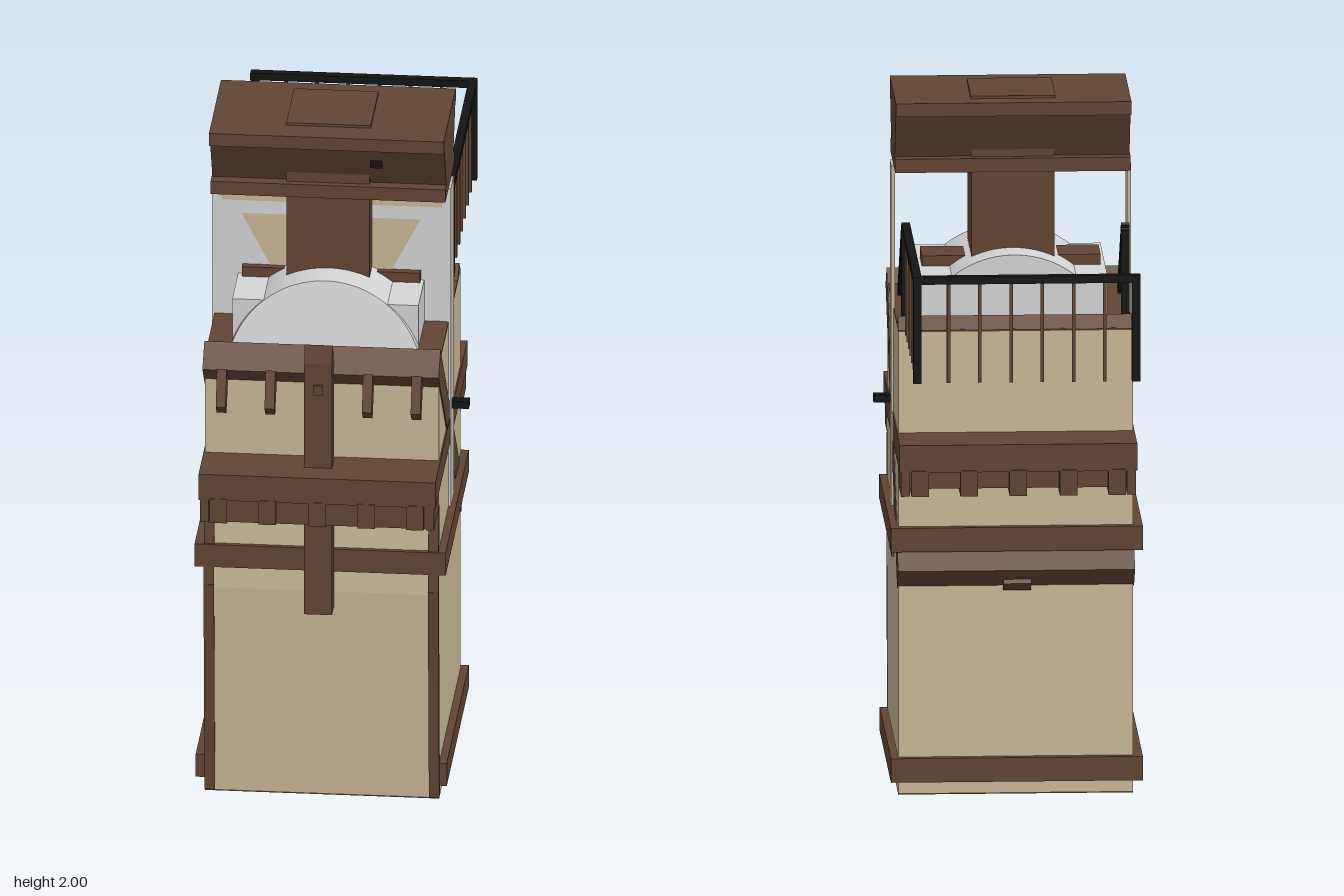
import * as THREE from 'three';

const mat = (name, color, side = THREE.FrontSide) => {
  const m = new THREE.MeshStandardMaterial({ color, side });
  m.name = name;
  return m;
};

export function createModel() {
  const tan = mat('tan plaster', 0xc9b998);
  const brown = mat('brown timber', 0x624534);
  const white = mat('pale metal', 0xd6d6d6);
  const black = mat('black iron', 0x141414);
  const model = new THREE.Group();
  const L = -0.353, R = 0.32, MID = (L + R) / 2;

  const add = (name, geo, material) => {
    const m = new THREE.Mesh(geo, material);
    m.name = name;
    model.add(m);
    return m;
  };
  // Box given by its limits on each axis
  const box = (name, material, x0, x1, y0, y1, z0, z1) => {
    const m = add(name, new THREE.BoxGeometry(x1 - x0, y1 - y0, z1 - z0), material);
    m.position.set((x0 + x1) / 2, (y0 + y1) / 2, (z0 + z1) / 2);
    return m;
  };
  // Square bar between two points
  const bar = (name, material, a, b, w, h = w) => {
    const p = new THREE.Vector3(...a), q = new THREE.Vector3(...b);
    const m = add(name, new THREE.BoxGeometry(w, h, p.distanceTo(q)), material);
    m.position.copy(p).add(q).multiplyScalar(0.5);
    m.lookAt(q);
    return m;
  };
  // Side profile of [z, y] points, extruded across x
  const profile = (name, material, pts, x0, x1) => {
    const s = new THREE.Shape(pts.map(([z, y]) => new THREE.Vector2(-z, y)));
    const g = new THREE.ExtrudeGeometry(s, { depth: x1 - x0, bevelEnabled: false });
    g.rotateY(Math.PI / 2);
    g.translate(x0, 0, 0);
    return add(name, g, material);
  };

  // Tower body with slightly bowed front
  profile('towerBody', tan,
    [[-0.085, 0.004], [0.588, 0.004], [0.618, 0.65], [0.59, 1.06], [0.588, 1.355], [-0.085, 1.355]], L, R);
  box('floor', brown, L, R, 0, 0.004, -0.085, 0.588);
  box('roofDeck', brown, L, R, 1.355, 1.362, -0.085, 0.588);
  profile('roofLip', brown, [[0, 1.36], [-0.05, 1.395], [-0.087, 1.36]], L, R);

  // Timber bands and front corner posts
  box('baseBand', brown, -0.38, 0.342, 0.04, 0.11, -0.108, 0.587);
  box('middleBand', brown, -0.38, 0.342, 0.715, 0.785, -0.107, 0.622);
  for (const x of [L + 0.014, R - 0.014]) {
    bar('cornerPost', brown, [x, 0.005, 0.582], [x, 0.66, 0.614], 0.03, 0.02);
    bar('cornerPost', brown, [x, 0.66, 0.614], [x, 0.92, 0.596], 0.03, 0.02);
  }

  // Sloping plank running through the body from front to back
  bar('slopingPlank', brown, [MID, 1.37, 0.605], [MID, 0.635, -0.11], R - L + 0.006, 0.088);
  bar('backStrut', brown, [-0.02, 0.68, -0.04], [-0.02, 0.61, -0.105], 0.08, 0.035);

  // Centre post and hanging brackets under the plank
  profile('centrePost', brown,
    [[0.605, 0.6], [0.672, 0.6], [0.672, 1.385], [0.66, 1.44], [0.605, 1.38]], -0.06, 0.02);
  box('postPeg', brown, -0.033, -0.007, 1.29, 1.32, 0.67, 0.68);
  for (const x of [-0.3, -0.16, 0.12, 0.26]) {
    profile('hangingBracket', brown,
      [[0.585, 1.31], [0.645, 1.21], [0.675, 1.24], [0.64, 1.345]], x - 0.014, x + 0.014);
  }

  // Walkway ledges front and back with joists
  box('walkway', brown, L - 0.004, R + 0.004, 0.98, 1.06, -0.257, 0.747);
  const ledge = (inner, outer) => {
    const d = Math.sign(outer - inner);
    const zs = (a, b) => [Math.min(a, b), Math.max(a, b)];
    box('ledgeBeam', brown, L, R, 0.925, 0.982, ...zs(inner, outer - d * 0.035));
    for (const x of [-0.3, -0.16, -0.016, 0.125, 0.265]) {
      box('joist', brown, x - 0.025, x + 0.025, 0.91, 0.985, ...zs(inner, outer + d * 0.004));
    }
    for (const x of [L, R - 0.025]) box('endJoist', brown, x, x + 0.025, 0.91, 0.985, ...zs(inner, outer));
  };
  ledge(0.585, 0.745);
  ledge(-0.08, -0.255);
  box('ledgeFascia', brown, L, R, 0.912, 0.985, 0.715, 0.742);

  // Pale machine casing with a curved hood
  box('casing', white, -0.285, 0.25, 1.36, 1.49, 0.02, 0.47);
  const hood = new THREE.Shape();
  const a = Math.asin(0.09 / 0.283);
  hood.absarc(0, 0, 0.283, a, Math.PI - a, false);
  hood.closePath();
  const hoodGeo = new THREE.ExtrudeGeometry(hood, { depth: 0.46, bevelEnabled: false, curveSegments: 24 });
  hoodGeo.translate(-0.017, 1.27, 0.03);
  // Lower front edge leans outward
  const hp = hoodGeo.attributes.position;
  for (let i = 0; i < hp.count; i++) {
    if (hp.getZ(i) > 0.2) hp.setZ(i, 0.5 - (hp.getY(i) - 1.36) * 0.2);
  }
  hoodGeo.computeVertexNormals();
  add('hood', hoodGeo, white);
  box('casingCradle', brown, -0.272, 0.24, 1.36, 1.52, 0.18, 0.31);

  // Head pillar and flared cap
  box('pillar', brown, -0.138, 0.1, 1.36, 1.99, 0.13, 0.37);
  box('capLowerPlate', brown, L - 0.002, R, 1.78, 1.82, 0.105, 0.39);
  profile('capFlare', brown, [[0.14, 1.82], [0.355, 1.82], [0.425, 1.955], [0.075, 1.955]], L, R);
  box('capTopPlate', brown, L - 0.002, R, 1.953, 1.992, 0.062, 0.44);
  box('capHatch', brown, -0.14, 0.103, 1.99, 2.0, 0.12, 0.362);
  box('capFitting', black, 0.105, 0.14, 1.885, 1.925, 0.39, 0.402);

  // Thin front screen between the cap and the roof, with inlay
  const panel = (name, material, pts, z) => {
    const g = new THREE.ShapeGeometry(new THREE.Shape(pts.map(p => new THREE.Vector2(...p))));
    g.translate(0, 0, z);
    add(name, g, material);
  };
  panel('screen', white, [[L, 1.36], [R, 1.36], [R, 1.78], [L, 1.78]], 0.288);
  panel('screenInlay', tan, [[-0.14, 1.42], [0.105, 1.42], [0.24, 1.68], [-0.275, 1.68]], 0.291);
  panel('screenInlayStripe', tan, [[-0.33, 1.72], [0.3, 1.72], [0.31, 1.75], [-0.34, 1.75]], 0.291);

  // Side guide strips
  for (const [x0, x1] of [[L - 0.007, L + 0.004], [R - 0.004, R + 0.007]]) {
    box('guideStrip', white, x0, x1, 0.64, 1.78, 0.245, 0.29);
    box('guideStripLining', tan, x0, x1, 0.64, 1.78, 0.2, 0.245);
    for (const z of [0.18, 0.29]) box('guideFoot', brown, x0, x1, 0.64, 0.72, z, z + 0.02);
  }
  box('sidePeg', black, 0.32, 0.376, 1.08, 1.102, 0.235, 0.265);

  // Stair rails on both sides
  for (const x of [-0.333, 0.297]) {
    bar('stairRail', black, [x, 1.41, 0.2], [x, 1.648, -0.03], 0.024);
    box('stairPost', black, x - 0.012, x + 0.012, 1.35, 1.65, -0.035, -0.012);
    for (let i = 0; i < 3; i++) {
      const z = 0.03 + i * 0.05;
      box('stairBaluster', brown, x - 0.005, x + 0.005, 1.35, 1.58 - i * 0.052, z - 0.005, z + 0.005);
    }
  }

  // Long handrail reaching out behind the tower
  box('handrail', black, 0.284, 0.308, 1.64, 1.662, -0.755, -0.02);
  box('handrail', black, -0.343, 0.308, 1.64, 1.662, -0.755, -0.73);
  for (const x of [0.296, -0.331]) box('railPost', black, x - 0.012, x + 0.012, 1.35, 1.65, -0.755, -0.732);
  for (let i = 0; i < 7; i++) {
    const z = -0.1 - i * 0.092;
    box('baluster', brown, 0.291, 0.301, 1.35, 1.645, z - 0.005, z + 0.005);
  }
  for (let i = 1; i < 7; i++) {
    const x = 0.296 - i * 0.0896;
    box('baluster', brown, x - 0.005, x + 0.005, 1.35, 1.645, -0.748, -0.738);
  }

  return model;
}
